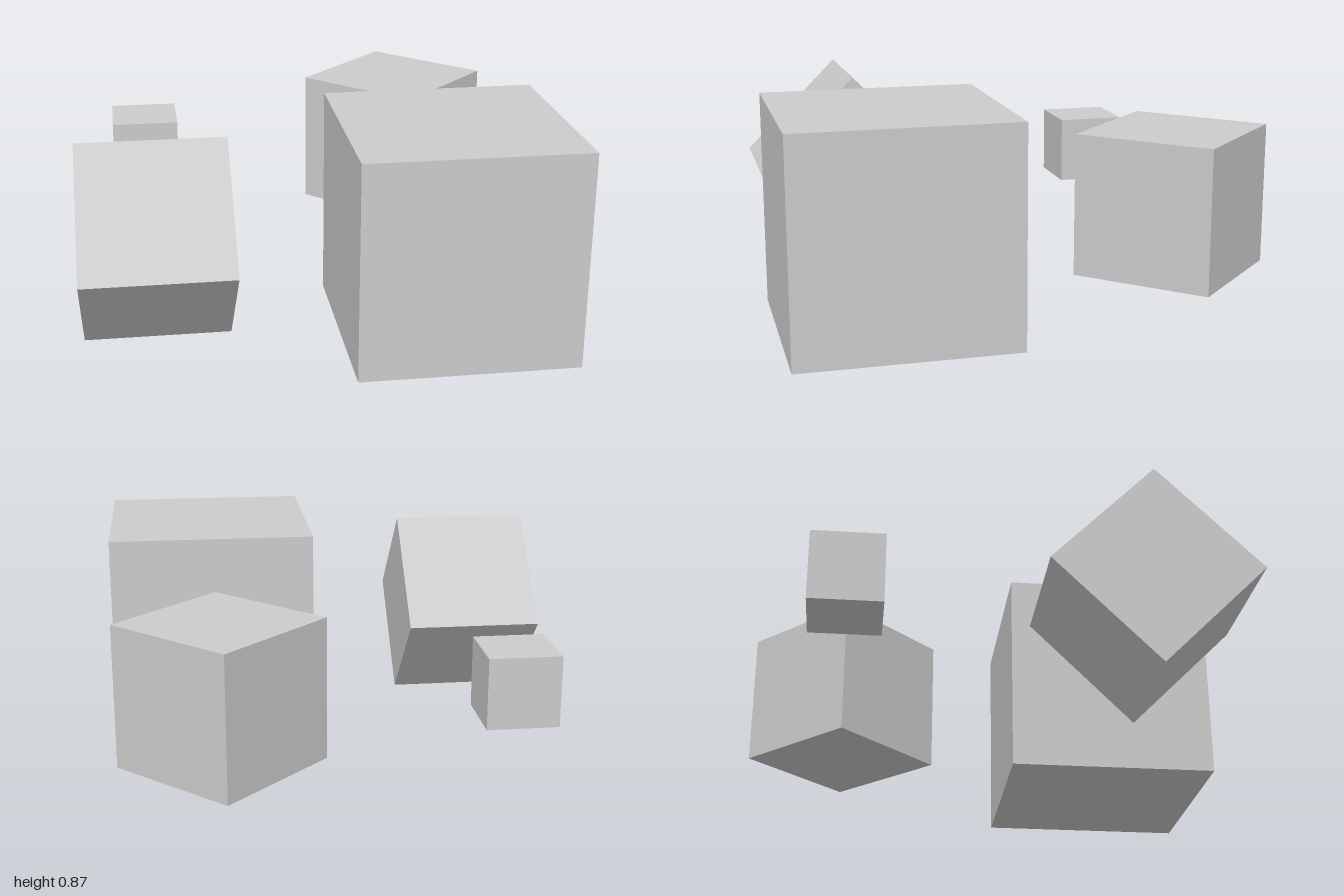
import * as THREE from 'three';

export function createModel() {
  const group = new THREE.Group();
  const material = new THREE.MeshStandardMaterial({ color: 0xcccccc, flatShading: true });
  const unit = 0.866; // edge of the largest cube
  const midY = unit / 2; // all cubes share one centre height

  function addCube(name, scale, x, z, tiltX = 0, turnY = 0) {
    const size = unit * scale;
    const cube = new THREE.Mesh(new THREE.BoxGeometry(size, size, size), material);
    cube.name = name;
    cube.position.set(x, midY, z);
    cube.rotation.set(tiltX, turnY, 0);
    group.add(cube);
  }

  // Four cubes at the corners of a square
  addCube('largeCube', 1, 0.503, 0.567);
  addCube('tiltedCube', 2 / 3, -0.653, 0.562, Math.PI / 4, 0);
  addCube('turnedCube', 2 / 3, 0.503, -0.592, 0, Math.PI / 4);
  addCube('smallCube', 1 / 3, -0.653, -0.592);

  return group;
}
